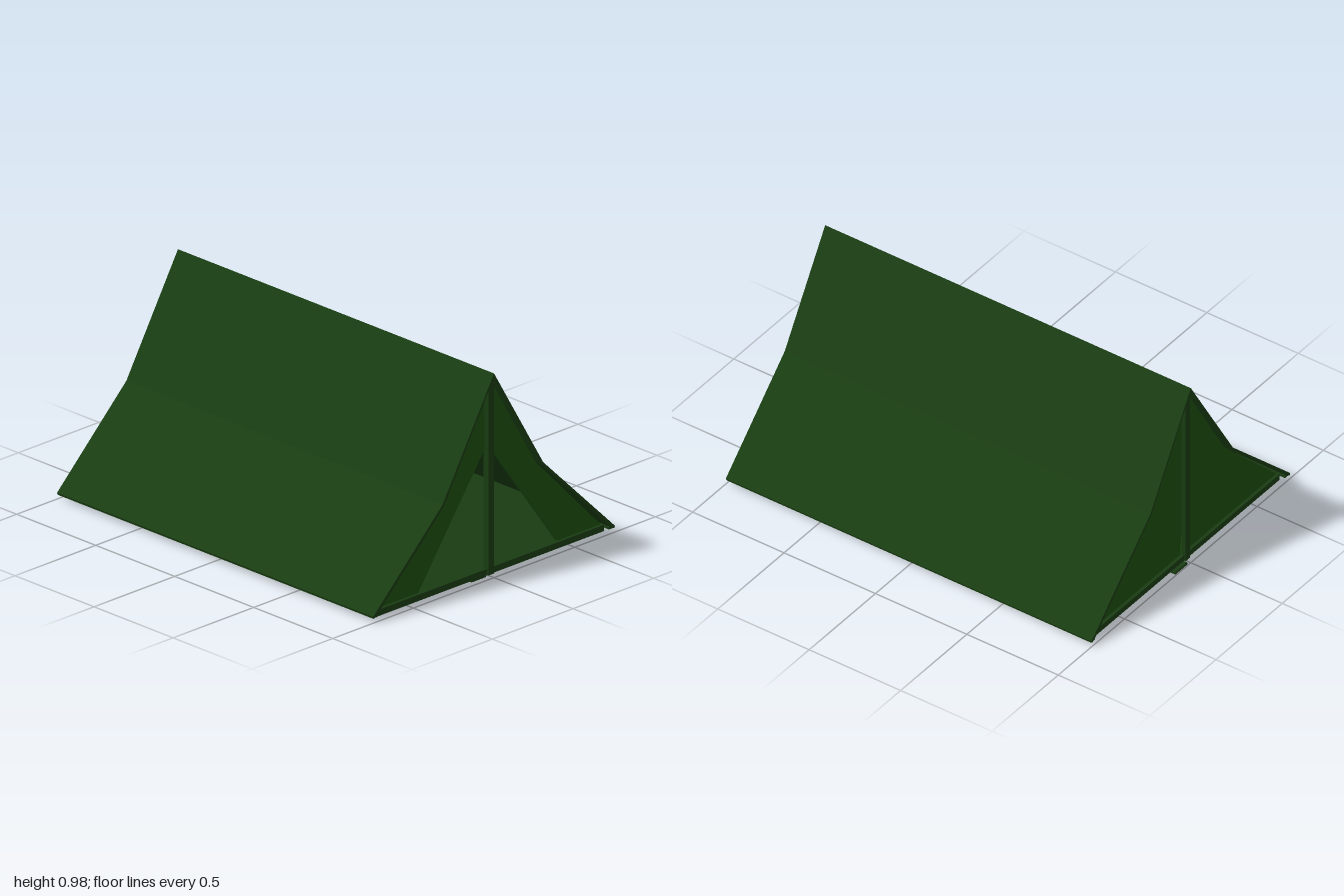
import * as THREE from 'three';

const roofMat = new THREE.MeshStandardMaterial({ color: 0x193c12 });
const wallMat = new THREE.MeshStandardMaterial({ color: 0x1c500f, side: THREE.DoubleSide });

// Extrudes a (z, y) outline along x, centred on the given x
function extrudeX(name, outline, length, x, material, holes = []) {
  const toVec = ([z, y]) => new THREE.Vector2(z, y);
  const shape = new THREE.Shape(outline.map(toVec));
  holes.forEach((h) => shape.holes.push(new THREE.Path(h.map(toVec))));
  const geo = new THREE.ExtrudeGeometry(shape, { depth: length, bevelEnabled: false });
  geo.translate(0, 0, -length / 2).rotateY(-Math.PI / 2);
  const mesh = new THREE.Mesh(geo, material);
  mesh.name = name;
  mesh.position.x = x;
  return mesh;
}

function box(name, size, pos, material) {
  const mesh = new THREE.Mesh(new THREE.BoxGeometry(...size), material);
  mesh.name = name;
  mesh.position.set(...pos);
  return mesh;
}

export function createModel() {
  const tent = new THREE.Group();
  tent.name = 'tent';

  // Roof sheet with a kink halfway down each slope
  tent.add(extrudeX('roof', [
    [0, 0.98], [-0.305, 0.465], [-0.75, 0.03], [-0.745, 0.02], [-0.725, 0.03], [-0.297, 0.455],
    [0, 0.962],
    [0.31, 0.432], [0.725, 0.03], [0.745, 0.02], [0.75, 0.03], [0.32, 0.442],
  ], 2, 0, roofMat));

  // Hems along the lower roof edges
  for (const s of [-1, 1]) {
    tent.add(box('roofHem', [1.99, 0.012, 0.03], [0, 0.026, s * 0.732], roofMat));
  }

  // Ground sheet
  tent.add(box('floor', [1.95, 0.03, 1.41], [0, 0.025, 0], roofMat));

  // Doorway end wall: the outline runs around the triangular opening
  tent.add(extrudeX('doorWall', [
    [-0.7, 0.04], [-0.302, 0.452], [-0.013, 0.94], [0.013, 0.94], [0.312, 0.43], [0.7, 0.04],
    [0.43, 0.04], [0, 0.635], [-0.43, 0.04],
  ], 0.008, 0.955, wallMat));

  // Folded edge beside the doorway
  tent.add(extrudeX('doorHem', [
    [-0.432, 0.04], [-0.448, 0.04], [-0.004, 0.645], [0, 0.635],
  ], 0.02, 0.952, wallMat));

  // Closed end wall with a narrow slit at the bottom of its seam
  tent.add(extrudeX('backWall', [
    [-0.7, 0.04], [-0.302, 0.452], [-0.013, 0.94], [0.013, 0.94], [0.312, 0.43], [0.7, 0.04],
    [-0.015, 0.04], [-0.017, 0.35], [-0.02, 0.04],
  ], 0.008, -0.955, wallMat));

  // A pole and a foot plate at each end
  for (const s of [-1, 1]) {
    tent.add(box('pole', [0.03, 0.93, 0.034], [s * 0.968, 0.475, 0.002], roofMat));
    tent.add(box('footPlate', [0.03, 0.012, 0.09], [s > 0 ? 0.955 : -0.98, 0.006, s * 0.065], roofMat));
  }
  return tent;
}
